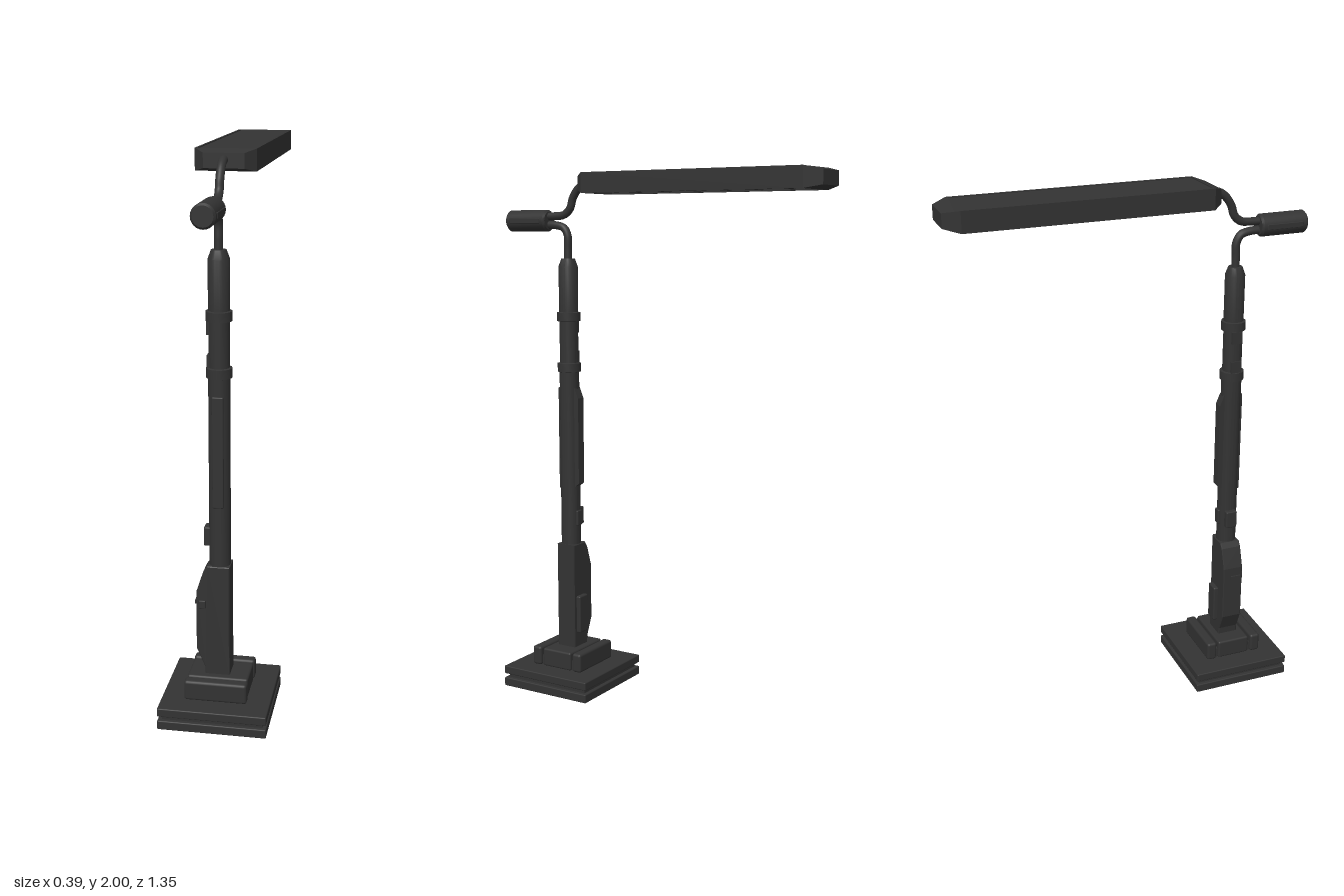
import * as THREE from 'three';
import { RoundedBoxGeometry } from 'three/addons/geometries/RoundedBoxGeometry.js';
import { toCreasedNormals } from 'three/addons/utils/BufferGeometryUtils.js';

export function createModel() {
  const model = new THREE.Group();
  model.name = 'streetLamp';
  const mat = new THREE.MeshStandardMaterial({ color: 0x333333 });
  const Z = 0.405; // depth of the post axis

  function add(name, geo, x = 0, y = 0, z = 0) {
    const m = new THREE.Mesh(geo, mat);
    m.name = name;
    m.position.set(x, y, z);
    model.add(m);
    return m;
  }
  // box from its limits
  function box(name, x0, x1, y0, y1, z0, z1, r = 0) {
    const s = [x1 - x0, y1 - y0, z1 - z0];
    const g = r ? new RoundedBoxGeometry(...s, 2, r) : new THREE.BoxGeometry(...s);
    return add(name, g, (x0 + x1) / 2, (y0 + y1) / 2, (z0 + z1) / 2);
  }
  const shapeOf = pts => new THREE.Shape(pts.map(p => new THREE.Vector2(...p)));
  const vec = pts => pts.map(p => new THREE.Vector3(...p));

  // stacked square base
  box('baseSlab', -0.195, 0.195, 0, 0.034, Z - 0.195, Z + 0.195, 0.004);
  box('baseGap', -0.18, 0.18, 0.03, 0.054, Z - 0.18, Z + 0.18);
  box('baseTop', -0.195, 0.195, 0.05, 0.082, Z - 0.195, Z + 0.195, 0.004);

  // plinth with a bar along its front and back
  box('plinth', -0.11, 0.11, 0.08, 0.153, Z - 0.066, Z + 0.066, 0.008);
  box('plinthCore', -0.1, 0.1, 0.08, 0.12, Z - 0.1, Z + 0.1);
  for (const s of [-1, 1]) {
    const c = Z + s * 0.095;
    box('plinthBar', -0.113, 0.113, 0.08, 0.155, c - 0.02, c + 0.02, 0.01);
  }

  // control housing, bulging to one side
  const housing = shapeOf([[0.04, 0.15], [0.04, 0.57], [-0.04, 0.57], [-0.054, 0.55],
    [-0.08, 0.47], [-0.08, 0.25], [-0.05, 0.18], [-0.048, 0.15]]);
  add('housing', new THREE.ExtrudeGeometry(housing, {
    depth: 0.074, bevelEnabled: true, bevelSize: 0.003, bevelThickness: 0.003, bevelOffset: -0.003, bevelSegments: 1,
  }), 0, 0, Z - 0.037);
  box('rearHatch', -0.03, 0.025, 0.21, 0.36, Z - 0.057, Z - 0.03, 0.006);
  box('latch', -0.07, -0.045, 0.41, 0.44, Z + 0.03, Z + 0.047, 0.003);
  box('sideLatch', -0.086, -0.07, 0.42, 0.435, Z - 0.01, Z + 0.03);

  // post with two collars and a tapered head
  const profile = [[0.038, 0.56], [0.038, 1.25], [0.045, 1.252], [0.045, 1.285], [0.036, 1.287],
    [0.036, 1.445], [0.045, 1.447], [0.045, 1.48], [0.037, 1.482], [0.037, 1.655], [0.026, 1.685], [0.001, 1.686]];
  add('post', toCreasedNormals(new THREE.LatheGeometry(profile.map(p => new THREE.Vector2(...p)), 24), 0.5), 0, 0, Z);
  box('frontRail', -0.02, 0.02, 0.79, 1.19, Z + 0.02, Z + 0.04, 0.004);
  const rail = shapeOf([[0, 0.79], [0.02, 0.79], [0.052, 0.815], [0.052, 1.15], [0.036, 1.19], [0, 1.19]]);
  add('rearRail', new THREE.ExtrudeGeometry(rail, { depth: 0.036, bevelEnabled: false }).rotateY(Math.PI / 2), -0.018, 0, Z);
  box('sideBox', -0.055, -0.03, 0.64, 0.71, Z - 0.025, Z + 0.02, 0.005);
  box('rearButton', -0.015, 0.015, 0.645, 0.705, Z - 0.044, Z - 0.03, 0.004);
  box('upperPlate', -0.04, -0.025, 1.4, 1.445, Z - 0.02, Z + 0.02);
  box('upperPlate', -0.04, -0.025, 1.285, 1.33, Z - 0.02, Z + 0.02);

  // curved arms meeting at the counterweight
  const tube = (name, pts) => add(name, new THREE.TubeGeometry(
    new THREE.CatmullRomCurve3(vec(pts)), 40, 0.015, 12));
  tube('lowerArm', [[0, 1.67, Z], [0, 1.72, Z], [0, 1.77, Z], [0, 1.8, Z + 0.017], [0, 1.81, Z + 0.05], [0, 1.812, 0.51]]);
  tube('upperArm', [[0, 1.845, 0.51], [0, 1.845, 0.46], [0, 1.85, 0.42], [0, 1.873, 0.393],
    [0, 1.91, 0.38], [0, 1.945, 0.355], [0, 1.963, 0.325], [0, 1.966, 0.285]]);

  // counterweight cylinder
  const weight = [[0, -0.092], [0.034, -0.092], [0.041, -0.085], [0.041, 0.085], [0.034, 0.092], [0, 0.092]];
  add('counterweight', toCreasedNormals(new THREE.LatheGeometry(
    weight.map(p => new THREE.Vector2(...p)), 24).rotateX(Math.PI / 2), 0.5), 0, 1.828, 0.582);
  for (const s of [-1, 1]) box('weightRib', s * 0.04 - 0.003, s * 0.04 + 0.003, 1.818, 1.838, 0.51, 0.65, 0.002);

  // lamp head frame: chamfered plan, thinner at both ends
  const head = shapeOf([[-0.105, -0.62], [-0.065, -0.675], [0.065, -0.675], [0.105, -0.62],
    [0.105, 0.27], [0.07, 0.308], [-0.07, 0.308], [-0.105, 0.27]]);
  head.holes.push(new THREE.Path([[-0.096, -0.615], [-0.096, 0.265], [0.096, 0.265], [0.096, -0.615]]
    .map(p => new THREE.Vector2(...p))));
  let frame = new THREE.ExtrudeGeometry(head, { depth: 0.075, bevelEnabled: false }).rotateX(Math.PI / 2);
  const p = frame.attributes.position;
  for (let i = 0; i < p.count; i++) {
    if (p.getZ(i) > 0.3 || p.getZ(i) < -0.65) p.setY(i, -0.0375 + (p.getY(i) + 0.0375) * 0.68);
  }
  frame = toCreasedNormals(frame, 0.3);
  add('headFrame', frame, 0, 2, 0);
  box('headPanel', -0.097, 0.097, 1.98, 1.997, -0.616, 0.266);

  // slanted louvres in the open underside
  for (let i = 1; i < 7; i++) {
    const slat = box('louvre', -0.096, 0.096, 1.928, 1.985, -0.003, 0.003);
    slat.position.z = -0.615 + (i * 0.88) / 7;
    slat.rotation.x = 0.35;
  }
  return model;
}
